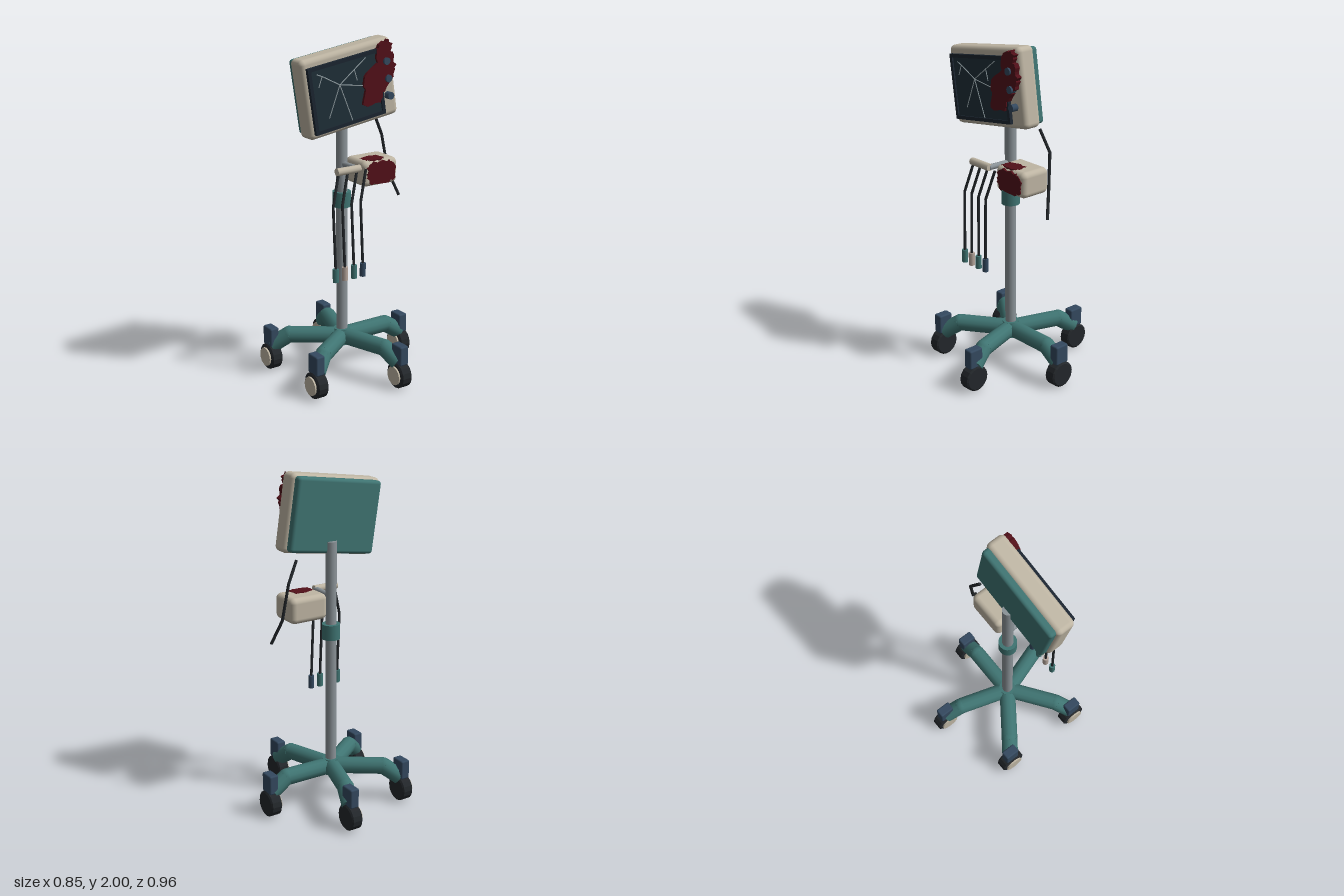
import * as THREE from 'three';
import { mergeGeometries } from 'three/addons/utils/BufferGeometryUtils.js';
import { RoundedBoxGeometry } from 'three/addons/geometries/RoundedBoxGeometry.js';

const mat = (color, flatShading = false) => {
  const m = new THREE.MeshStandardMaterial({ flatShading });
  m.color.set(color);
  return m;
};
const TEAL = mat(0x3f7472), BEIGE = mat(0xbfb6a4), BLUE = mat(0x34495f), BLACK = mat(0x23272b),
  STEEL = mat(0x8b9398), RED = mat(0x521019, true), GLASS = mat(0x1f2f38), FRAME = mat(0x1b2530),
  CRACK = mat(0x9aa8ad);
const V = (x, y, z) => new THREE.Vector3(x, y, z);
const POLE_X = -0.04;

function add(parent, name, geometry, material, x = 0, y = 0, z = 0) {
  const mesh = new THREE.Mesh(geometry, material);
  mesh.name = name;
  mesh.position.set(x, y, z);
  parent.add(mesh);
  return mesh;
}

// Straight closed rods through the points, with a ball at each bend
function rods(points, r, sides = 10) {
  const parts = [];
  for (let i = 0; i < points.length - 1; i++) {
    const a = points[i], d = points[i + 1].clone().sub(a);
    const g = new THREE.CylinderGeometry(r, r, d.length(), sides);
    g.applyQuaternion(new THREE.Quaternion().setFromUnitVectors(V(0, 1, 0), d.clone().normalize()));
    g.translate(a.x + d.x / 2, a.y + d.y / 2, a.z + d.z / 2);
    parts.push(g);
    if (i > 0) parts.push(new THREE.SphereGeometry(r, sides, 8).translate(a.x, a.y, a.z));
  }
  return mergeGeometries(parts);
}

// Ragged-edged slab for stains
function stain(outline, depth, jag, seed) {
  const rand = () => ((seed = (seed * 16807) % 2147483647) / 2147483647) - 0.5;
  const pts = [];
  outline.forEach(([x, y], i) => {
    const [u, v] = outline[(i + 1) % outline.length];
    for (let k = 0; k < 4; k++) {
      const t = k / 4;
      pts.push(new THREE.Vector2(x + (u - x) * t + rand() * jag, y + (v - y) * t + rand() * jag));
    }
  });
  return new THREE.ExtrudeGeometry(new THREE.Shape(pts), { depth, bevelEnabled: false });
}

function ellipse(rx, ry, n = 10) {
  return Array.from({ length: n }, (_, i) => {
    const a = (i / n) * Math.PI * 2;
    const c = Math.cos(a), s = Math.sin(a);
    return [rx * Math.sign(c) * Math.abs(c) ** 0.7, ry * Math.sign(s) * Math.abs(s) ** 0.7];
  });
}

// Five-legged base on casters
function createBase() {
  const base = new THREE.Group();
  base.name = 'base';
  add(base, 'hub', new THREE.CylinderGeometry(0.05, 0.055, 0.095, 16), TEAL, POLE_X, 0.218, 0);
  for (let i = 0; i < 5; i++) {
    const a = (i * Math.PI * 2) / 5, c = Math.cos(a), s = Math.sin(a);
    const at = (r, y) => V(POLE_X + r * c, y, r * s);
    add(base, 'leg', rods([at(0, 0.217), at(0.315, 0.217), at(0.415, 0.15)], 0.05, 12), TEAL);

    const caster = new THREE.Group();
    caster.name = 'caster';
    caster.position.copy(at(0.423, 0));
    base.add(caster);
    add(caster, 'fork', new RoundedBoxGeometry(0.058, 0.118, 0.092, 2, 0.01), BLUE, 0, 0.207, 0);
    const profile = [[0, -0.036], [0.068, -0.036], [0.078, -0.029], [0.078, 0.029], [0.068, 0.036], [0, 0.036]];
    const tyre = new THREE.LatheGeometry(profile.map(([x, y]) => new THREE.Vector2(x, y)), 16);
    add(caster, 'wheel', tyre.rotateZ(Math.PI / 2), mat(0x23272b, true), 0, 0.08, 0);
    add(caster, 'hubcap', new THREE.CylinderGeometry(0.056, 0.056, 0.012, 16).rotateZ(Math.PI / 2),
      BEIGE, -0.04, 0.08, 0);
  }
  return base;
}

// Tilted display
function createMonitor() {
  const monitor = new THREE.Group();
  monitor.name = 'monitor';
  monitor.position.set(-0.076, 1.737, 0);
  monitor.rotation.z = 0.15;
  add(monitor, 'housing', new RoundedBoxGeometry(0.6, 0.45, 0.117, 3, 0.03), BEIGE, 0, 0, 0.089);
  add(monitor, 'backCover', new RoundedBoxGeometry(0.565, 0.425, 0.08, 3, 0.02), TEAL, 0, 0, 0.032);

  const w = 0.235, h = 0.187, t = 0.02;
  const frame = new THREE.Shape([[-w, -h], [w, -h], [w, h], [-w, h]].map(p => new THREE.Vector2(...p)));
  frame.holes.push(new THREE.Path(
    [[t - w, t - h], [t - w, h - t], [w - t, h - t], [w - t, t - h]].map(p => new THREE.Vector2(...p))));
  add(monitor, 'screenFrame', new THREE.ExtrudeGeometry(frame, { depth: 0.026, bevelEnabled: false }),
    FRAME, -0.037, -0.008, 0.142);
  add(monitor, 'screen', new THREE.BoxGeometry(2 * w - t, 2 * h - t, 0.02), GLASS, -0.037, -0.008, 0.149);

  for (let i = 0; i < 3; i++) {
    add(monitor, 'knob', new THREE.CylinderGeometry(0.021, 0.021, 0.045, 14).rotateX(Math.PI / 2),
      BLUE, 0.234, 0.1 - i * 0.1, 0.163);
  }
  return monitor;
}

export function createModel() {
  const model = new THREE.Group();
  model.name = 'patientMonitorStand';
  model.add(createBase(), createMonitor());

  // Pole and height collar
  add(model, 'pole', new THREE.CylinderGeometry(0.033, 0.033, 1.39, 16), STEEL, POLE_X, 0.905, 0);
  add(model, 'collar', new THREE.CylinderGeometry(0.054, 0.054, 0.09, 16), TEAL, POLE_X, 1.066, 0);

  // Cracks and stain on the screen
  const o = [-0.16, 1.767];
  const cracks = [
    [o, [-0.275, 1.825], [-0.297, 1.765]], [[-0.275, 1.825], [-0.31, 1.838]],
    [o, [-0.065, 1.842], [0.01, 1.9]], [[-0.065, 1.842], [-0.045, 1.78]],
    [o, [-0.228, 1.59]], [o, [-0.07, 1.55]], [o, [0.05, 1.74]],
  ];
  for (const line of cracks) {
    add(model, 'crack', rods(line.map(([x, y]) => V(x, y, 0.16)), 0.003, 5), CRACK);
  }
  const splash = [[0, 1.63], [0.1, 1.64], [0.13, 1.71], [0.185, 1.775], [0.205, 1.85], [0.18, 1.91],
    [0.175, 1.975], [0.13, 1.985], [0.07, 1.94], [0.075, 1.87], [0.01, 1.81], [-0.005, 1.73]];
  add(model, 'screenStain', stain(splash, 0.032, 0.022, 7), RED, 0, 0, 0.142);

  // Side module with stains on its front and top
  add(model, 'sideModule', new RoundedBoxGeometry(0.24, 0.152, 0.195, 3, 0.032), BEIGE, 0.125, 1.231, 0.06);
  add(model, 'frontStain', stain(ellipse(0.104, 0.068), 0.014, 0.018, 11), RED, 0.125, 1.231, 0.148);
  add(model, 'topStain', stain(ellipse(0.07, 0.045), 0.01, 0.018, 23).rotateX(-Math.PI / 2),
    RED, 0.1, 1.299, 0.1);

  // Cable hanger and its arm
  add(model, 'hangerArm', rods([V(POLE_X, 1.275, 0), V(POLE_X, 1.278, 0.165)], 0.017), STEEL);
  add(model, 'hangerBar', rods([V(-0.185, 1.28, 0.165), V(-0.03, 1.28, 0.165)], 0.022, 12), BEIGE);

  // Four hanging leads with coloured plugs
  [TEAL, mat(0xb5a59b), TEAL, BLUE].forEach((plug, i) => {
    const x = -0.218 + i * 0.062;
    add(model, 'lead', rods([V(x + 0.045, 1.27, 0.165), V(x - 0.008, 1.09, 0.19), V(x, 0.72, 0.202)], 0.008, 8), BLACK);
    add(model, 'leadPlug', new THREE.CylinderGeometry(0.018, 0.018, 0.078, 10), plug, x, 0.69, 0.202);
  });

  // Loose cable below the display
  add(model, 'looseCable', rods([V(0.196, 1.525, -0.007), V(0.26, 1.4, -0.025), V(0.285, 1.183, 0.005),
    V(0.33, 1.04, 0.055)], 0.009, 8), BLACK);
  return model;
}
